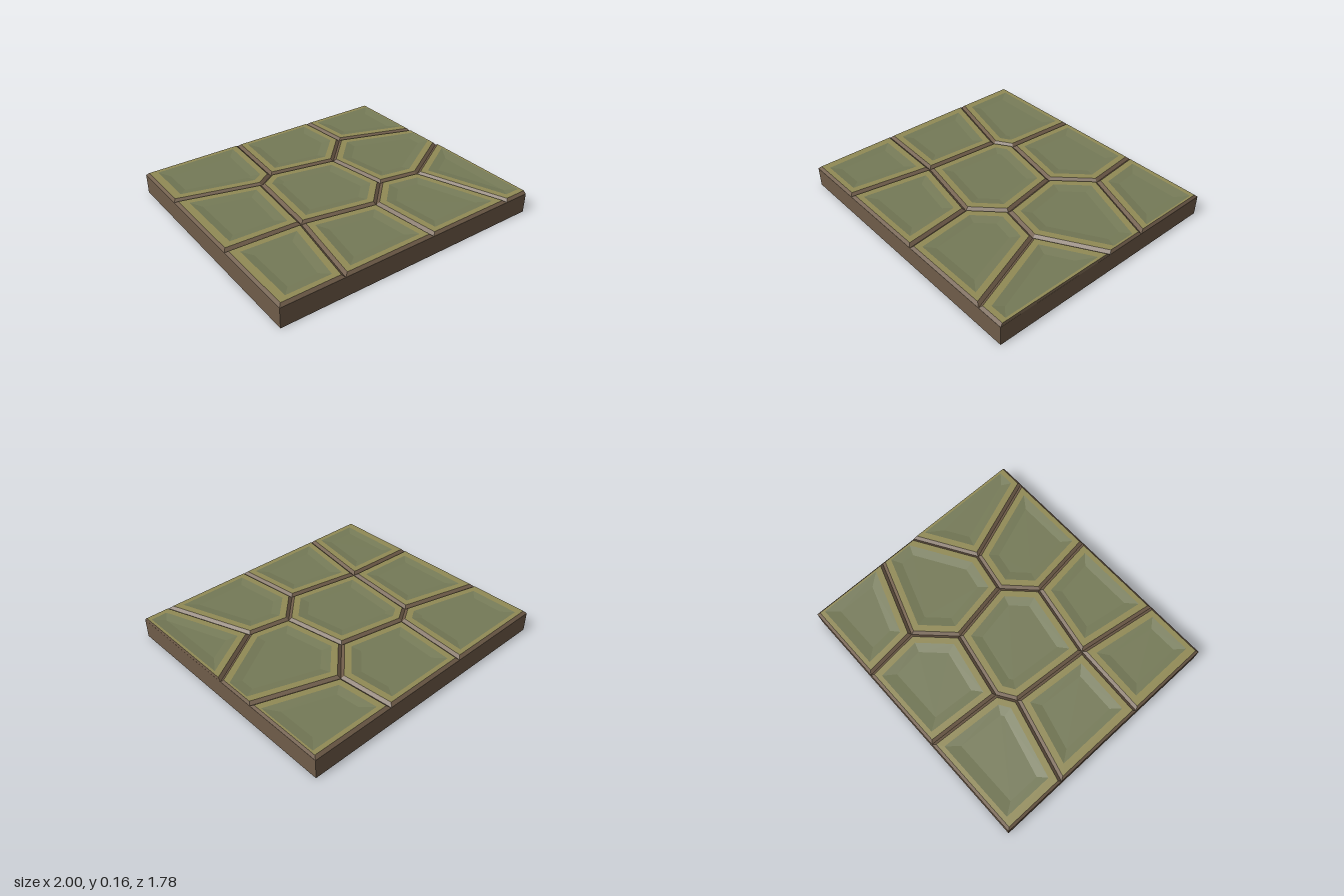
import * as THREE from 'three';

const brown = new THREE.MeshStandardMaterial({ name: 'earth brown', color: 0x6f5c49 });
const olive = new THREE.MeshStandardMaterial({ name: 'olive rim', color: 0x918a55 });
const green = new THREE.MeshStandardMaterial({ name: 'mossy green', color: 0x757a57 });
for (const m of [brown, olive, green]) m.flatShading = true;

const HALF_Z = 0.89, BASE = 0.145, RIM = 0.163, FLOOR = 0.152;

// Groove junctions in plan, [x, z]
const P = {
  bl: [-1, -HALF_Z], br: [1, -HALF_Z], fr: [1, HALF_Z], fl: [-1, HALF_Z],
  A: [-0.25, -HALF_Z], B: [0.395, -HALF_Z], C: [-1, -0.425], D: [-1, 0.27],
  E: [-0.41, -0.27], F: [-0.285, -0.35], G: [0.2, -0.255], H: [0.435, -0.495],
  I: [1, -0.3], J: [1, -0.005], K: [0.575, 0.25], L: [0.28, 0.195],
  M: [0.08, 0.395], N: [-0.455, 0.295], O: [-0.55, HALF_Z], Q: [0.14, HALF_Z], R: [0.81, HALF_Z],
};
// Stones, each a ring of junctions
const STONES = [
  'bl A F E C', 'A B H G F', 'B br I H', 'C E N D', 'E F G L M N',
  'H I J K L G', 'D N O fl', 'N M Q O', 'M L K R Q', 'K J fr R',
];

// Distances from an edge to the rim's outer side, the rim's inner side and the dish floor
function insets(a, b) {
  if (a === P.J && b === P.fr) return [0.004, 0.022, 0.1];
  if (a[0] === 1 && b[0] === 1) return [0.013, 0.027, 0.1];
  if (a[0] === -1 && b[0] === -1) return [0.018, 0.073, 0.13];
  if (a[1] === -HALF_Z && b[1] === -HALF_Z) return [0.02, 0.052, 0.135];
  if (a[1] === HALF_Z && b[1] === HALF_Z) return [0.018, 0.055, 0.12];
  return [0.021, 0.066, 0.13];
}

// Move every edge of a ring inwards and intersect the neighbours
function insetRing(ring, level, y) {
  const n = ring.length;
  const lines = ring.map((a, i) => {
    const b = ring[(i + 1) % n];
    const len = Math.hypot(b[0] - a[0], b[1] - a[1]);
    const nx = -(b[1] - a[1]) / len, nz = (b[0] - a[0]) / len;
    return [nx, nz, nx * a[0] + nz * a[1] + insets(a, b)[level]];
  });
  return lines.map((l, i) => {
    const k = lines[(i + n - 1) % n];
    const det = k[0] * l[1] - k[1] * l[0];
    return [(k[2] * l[1] - k[1] * l[2]) / det, y, (k[0] * l[2] - k[2] * l[0]) / det];
  });
}

function makeMesh(name, positions, material) {
  const geo = new THREE.BufferGeometry();
  geo.setAttribute('position', new THREE.Float32BufferAttribute(positions.flat(), 3));
  geo.computeVertexNormals();
  const mesh = new THREE.Mesh(geo, material);
  mesh.name = name;
  return mesh;
}

// Strip of faces between two rings
function band(outer, inner) {
  return outer.flatMap((o, i) => {
    const j = (i + 1) % outer.length;
    return [o, inner[i], outer[j], outer[j], inner[i], inner[j]];
  });
}

function cap(ring) {
  return ring.slice(2).flatMap((p, i) => [ring[0], p, ring[i + 1]]);
}

function makeStone(keys) {
  const ring = keys.split(' ').map((k) => P[k]);
  const foot = ring.map(([x, z]) => [x, BASE, z]);
  const rimOuter = insetRing(ring, 0, RIM);
  const rimInner = insetRing(ring, 1, RIM);
  const floor = insetRing(ring, 2, FLOOR);
  const stone = new THREE.Group();
  stone.name = 'pavingStone';
  stone.add(
    makeMesh('grooveWall', band(foot, rimOuter), brown),
    makeMesh('stoneRim', band(rimOuter, rimInner), olive),
    makeMesh('stoneDish', [...band(rimInner, floor), ...cap(floor)], green),
  );
  return stone;
}

export function createModel() {
  const model = new THREE.Group();
  model.name = 'pavedTile';

  // Earth slab under the stones
  const slab = new THREE.Mesh(new THREE.BoxGeometry(2, BASE - 0.001, 2 * HALF_Z), brown);
  slab.name = 'slab';
  slab.position.y = (BASE - 0.001) / 2;
  model.add(slab);

  // Bevelled stones with dished tops
  for (const keys of STONES) model.add(makeStone(keys));
  return model;
}
